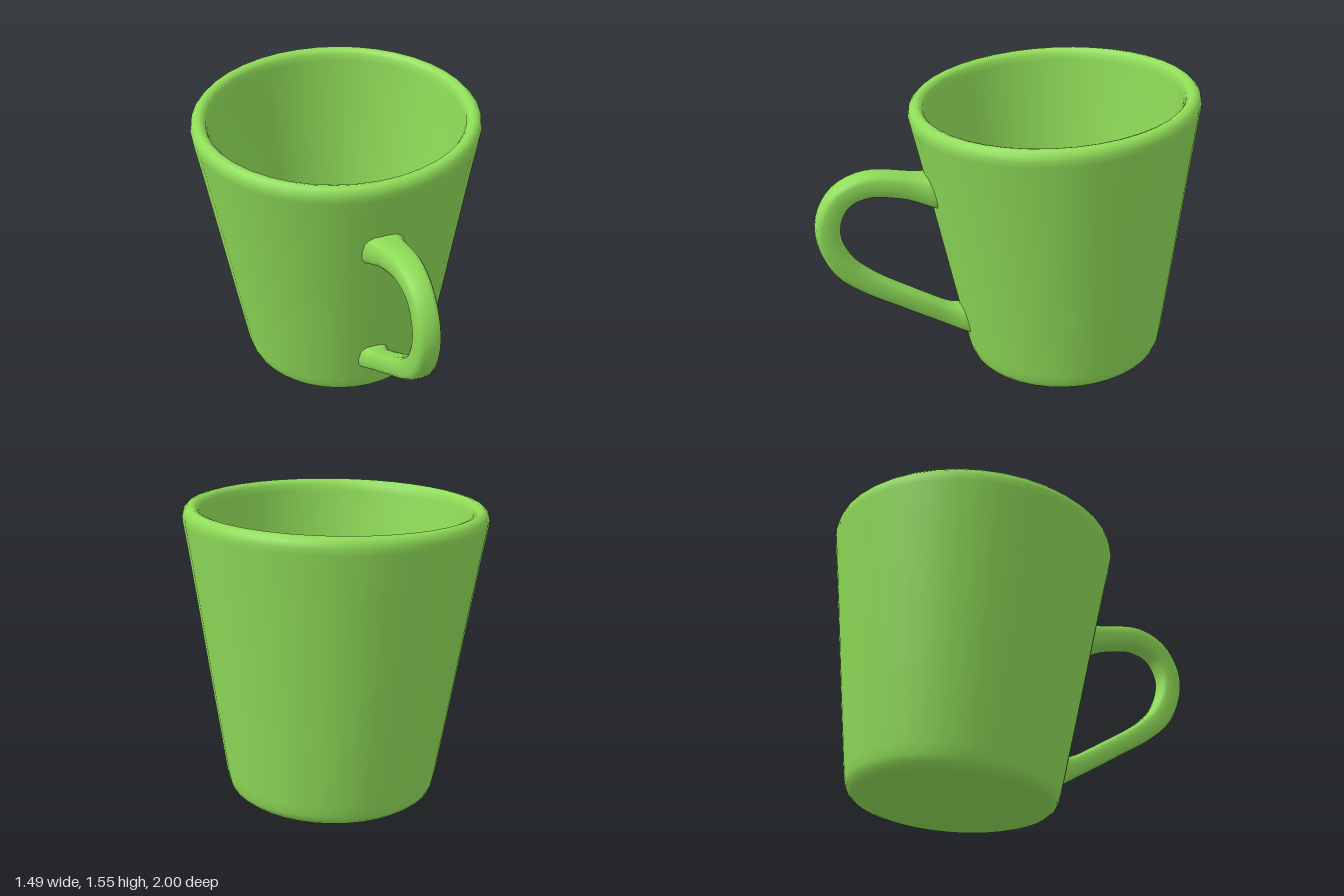
import * as THREE from 'three';

const material = new THREE.MeshStandardMaterial({ color: 0x8fdc58 });

// Cup: one closed profile, outside wall, rounded rim, inside wall, floor
function makeCup() {
  const profile = [
    [0, 0], [0.44, 0], [0.465, 0.001], [0.495, 0.01], [0.518, 0.03], [0.53, 0.06], [0.541, 0.11],
    [0.602, 0.5], [0.678, 1.0], [0.72, 1.27], [0.742, 1.4], [0.745, 1.43], [0.739, 1.457],
    [0.722, 1.475], [0.7, 1.48], [0.68, 1.472], [0.667, 1.455], [0.66, 1.42], [0.648, 1.3],
    [0.605, 1.0], [0.53, 0.5], [0.487, 0.19], [0.475, 0.13], [0.455, 0.1], [0.42, 0.083],
    [0.38, 0.08], [0, 0.08],
  ].map(([r, t]) => new THREE.Vector2(r, t));
  const cup = new THREE.Mesh(new THREE.LatheGeometry(profile, 40), material);
  cup.name = 'cup';
  // The cup leans slightly
  const lean = new THREE.Vector3(-0.032, 1, 0.052).normalize();
  cup.quaternion.setFromUnitVectors(new THREE.Vector3(0, 1, 0), lean);
  cup.position.set(0.045, 0.029, -0.33);
  return cup;
}

// Handle: rounded-box section swept along a loop, flaring where it meets the wall
function makeHandle() {
  const path = new THREE.CatmullRomCurve3([
    [0.385, 1.06], [0.55, 1.112], [0.73, 1.138], [0.86, 1.085], [0.93, 0.96], [0.927, 0.84],
    [0.865, 0.7], [0.76, 0.595], [0.55, 0.455], [0.34, 0.325], [0.228, 0.27],
  ].map(([z, y]) => new THREE.Vector3(-0.045 - 0.125 * (z - 0.27) - 0.02 * (y - 0.28), y, z)));
  const rings = 48, sides = 16;
  const positions = [], index = [];
  const wall = new THREE.Vector3(0, 1, 0.16).normalize();
  const across = new THREE.Vector3(1, 0, 0.125).normalize();
  const round = (v) => Math.sign(v) * Math.pow(Math.abs(v), 0.65);

  for (let i = 0; i <= rings; i++) {
    const u = i / rings;
    const p = path.getPointAt(u);
    const tangent = path.getTangentAt(u);
    const flare = Math.pow(Math.max(0, 1 - Math.min(u, 1 - u) / 0.1), 2);
    // Outward side of the loop, turned parallel to the wall at both ends
    const out = new THREE.Vector3().crossVectors(tangent, across).normalize();
    const end = wall.clone().multiplyScalar(u < 0.5 ? 1 : -1);
    if (out.dot(end) < 0 && flare > 0) out.negate();
    out.lerp(end, flare).normalize();
    const halfWidth = 0.06 + 0.03 * Math.max(0, 1 - u / 0.3) + 0.025 * flare;
    const halfDepth = 0.064 - 0.01 * THREE.MathUtils.smoothstep(u, 0.5, 0.75) + 0.028 * flare;
    for (let j = 0; j < sides; j++) {
      const a = (j / sides) * Math.PI * 2;
      const v = p.clone()
        .addScaledVector(across, halfWidth * round(Math.cos(a)))
        .addScaledVector(out, halfDepth * round(Math.sin(a)));
      positions.push(v.x, v.y, v.z);
      if (i < rings) {
        const b = i * sides + j, c = i * sides + ((j + 1) % sides);
        index.push(b, b + sides, c, c, b + sides, c + sides);
      }
    }
  }
  const geometry = new THREE.BufferGeometry();
  geometry.setAttribute('position', new THREE.Float32BufferAttribute(positions, 3));
  // Pick the winding that faces away from the path
  const [a, b, c] = [0, 1, 2].map((k) =>
    new THREE.Vector3().fromArray(positions, index[(rings / 2) * sides * 6 + k] * 3));
  const normal = b.clone().sub(a).cross(c.clone().sub(a));
  if (normal.dot(a.clone().sub(path.getPointAt(0.5))) < 0) index.reverse();
  geometry.setIndex(index);
  geometry.computeVertexNormals();
  const handle = new THREE.Mesh(geometry, material);
  handle.name = 'handle';
  return handle;
}

export function createModel() {
  const mug = new THREE.Group();
  mug.name = 'mug';
  mug.add(makeCup(), makeHandle());
  return mug;
}
